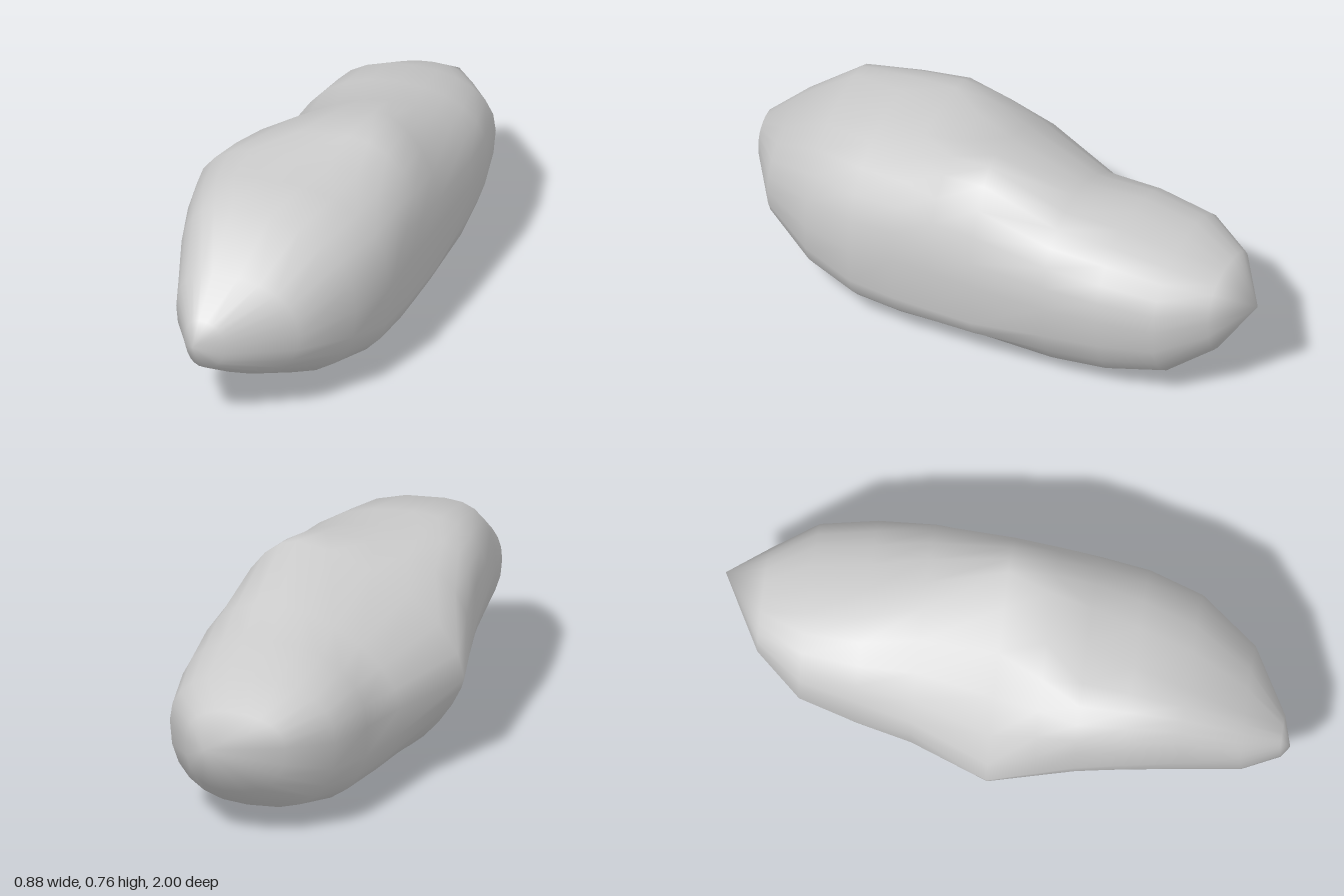
import * as THREE from 'three';
import { mergeVertices } from 'three/addons/utils/BufferGeometryUtils.js';

// Cross-sections from back to front:
// z, leftmost x and y, rightmost x and y, top x and y, bottom x and y,
// then the corner shapes: upper right, upper left, lower left, lower right
// (below 1 is squarer than an ellipse, 2 is a straight slope)
const SECTIONS = [
  [-0.86, -0.07, 0.38, 0.29, 0.36, 0.13, 0.49, 0.15, 0.19, 0.9, 0.9, 0.8, 0.8],
  [-0.70, -0.20, 0.35, 0.40, 0.35, 0.10, 0.56, 0.12, 0.07, 0.9, 0.9, 0.75, 0.85],
  [-0.50, -0.25, 0.33, 0.43, 0.36, 0.10, 0.605, 0.08, 0.01, 0.9, 0.95, 0.75, 0.85],
  [-0.30, -0.30, 0.32, 0.435, 0.36, 0.14, 0.645, 0.05, 0.00, 0.9, 1.15, 0.8, 0.8],
  [-0.02, -0.44, 0.33, 0.41, 0.36, 0.17, 0.76, -0.21, 0.03, 1.1, 1.15, 1.5, 0.5],
  [0.14, -0.41, 0.37, 0.395, 0.36, 0.12, 0.735, -0.17, 0.03, 1.0, 0.8, 1.4, 0.5],
  [0.28, -0.39, 0.42, 0.38, 0.36, -0.04, 0.715, -0.13, 0.03, 0.85, 0.65, 1.35, 0.5],
  [0.45, -0.37, 0.45, 0.36, 0.34, -0.10, 0.705, -0.09, 0.03, 0.85, 0.75, 1.3, 0.6],
  [0.64, -0.335, 0.44, 0.295, 0.34, -0.15, 0.68, -0.06, 0.06, 0.85, 0.8, 1.15, 0.75],
  [0.84, -0.29, 0.38, 0.15, 0.33, -0.16, 0.53, -0.10, 0.15, 0.9, 0.9, 0.95, 0.85],
  [0.97, -0.22, 0.34, -0.08, 0.32, -0.17, 0.41, -0.15, 0.23, 0.9, 0.9, 0.9, 0.9],
];
const SIDES = 24;

// A section shrunk to one point
const tip = (x, y, z) => [z, x, y, x, y, x, y, x, y, 1, 1, 1, 1];

// Point on a rounded outline through the four extremes of a section
function outlinePoint([z, lx, ly, rx, ry, tx, ty, bx, by, ...corners], j) {
  const a = (j / SIDES) * Math.PI * 2;
  const c = Math.cos(a), s = Math.sin(a);
  const right = c >= 0, up = s >= 0;
  const power = corners[Math.floor((j * 4) / SIDES)];
  const u = Math.pow(Math.abs(c), power), v = Math.pow(Math.abs(s), power);
  const cx = up ? tx : bx, cy = right ? ry : ly;
  return [
    cx + ((right ? rx : lx) - cx) * u,
    cy + ((up ? ty : by) - cy) * v,
    z,
  ];
}

export function createModel() {
  const rows = [tip(0.18, 0.4, -1), ...SECTIONS, tip(-0.185, 0.32, 1)];
  const positions = [], index = [];
  rows.forEach((row, i) => {
    for (let j = 0; j < SIDES; j++) {
      positions.push(...outlinePoint(row, j));
      const a = i * SIDES + j, b = i * SIDES + ((j + 1) % SIDES);
      const c = a + SIDES, d = b + SIDES;
      // Next to a tip one triangle per side is enough
      if (i > 0 && i < rows.length - 1) index.push(a, b, c);
      if (i < rows.length - 2) index.push(b, d, c);
    }
  });

  let geometry = new THREE.BufferGeometry();
  geometry.setAttribute('position', new THREE.Float32BufferAttribute(positions, 3));
  geometry.setIndex(index);
  geometry = mergeVertices(geometry, 1e-4);
  geometry.computeVertexNormals();

  // Long weathered boulder
  const boulder = new THREE.Mesh(geometry, new THREE.MeshStandardMaterial({ color: 0xcccccc }));
  boulder.name = 'boulder';
  const group = new THREE.Group();
  group.name = 'rock';
  group.add(boulder);
  return group;
}
